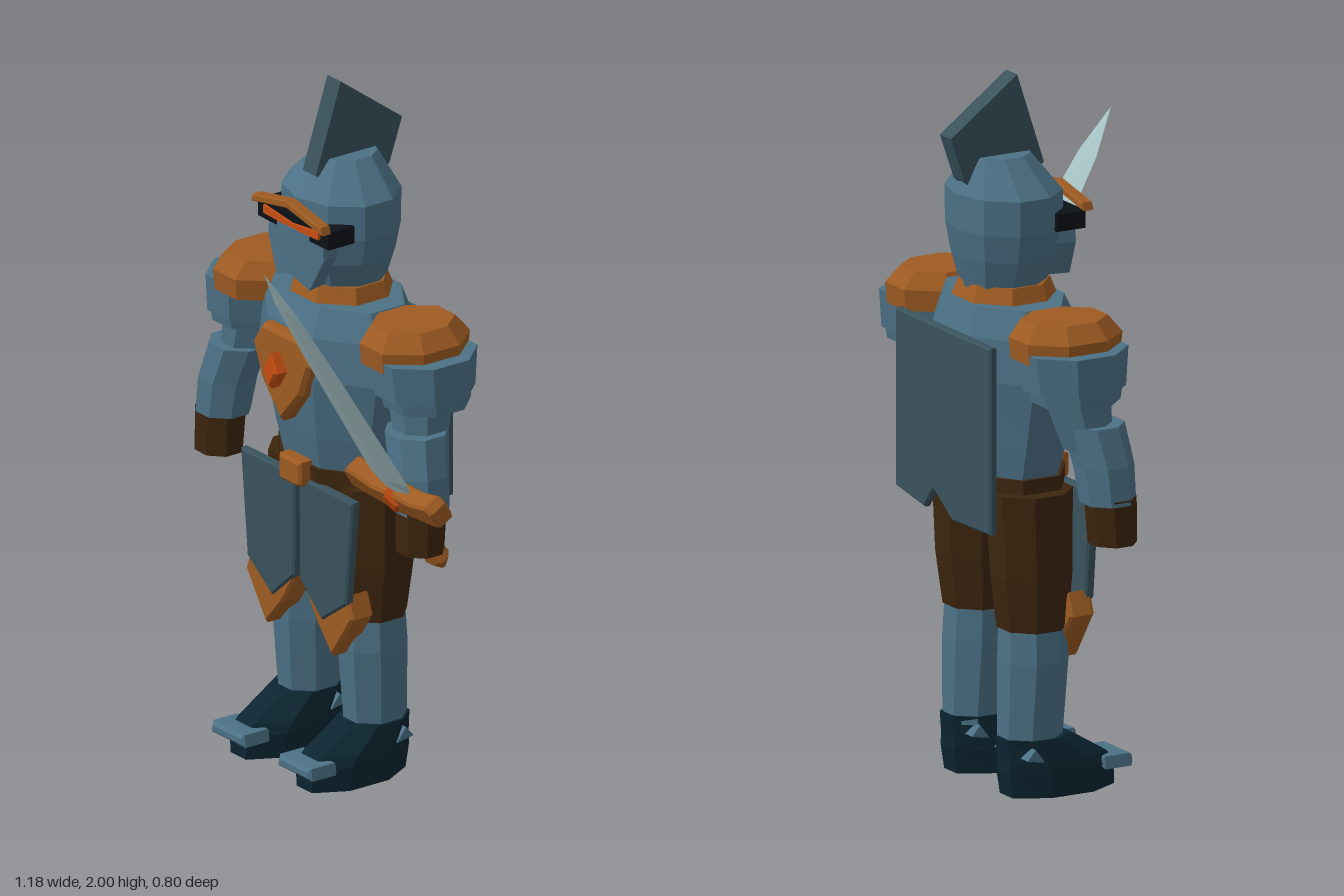
import * as THREE from 'three';

const paint = (name, color) => {
  const m = new THREE.MeshStandardMaterial({ color, flatShading: true });
  m.name = name;
  return m;
};

// Faceted solid through rings of [y, cx, cz, rx, rz]
function loft(rings, n = 8) {
  const phase = n === 4 ? 0 : Math.PI / n;
  const grow = n === 4 ? 1 : 1 / Math.cos(Math.PI / n);
  const at = ([y, cx, cz, rx, rz], i) => {
    const a = phase + (i * 2 * Math.PI) / n;
    return [cx + Math.cos(a) * rx * grow, y, cz + Math.sin(a) * rz * grow];
  };
  const mid = ([y, cx, cz]) => [cx, y, cz];
  const p = [];
  const lo = rings[0], hi = rings[rings.length - 1];
  for (let i = 0; i < n; i++) {
    for (let k = 0; k + 1 < rings.length; k++) {
      const a = at(rings[k], i), b = at(rings[k], i + 1);
      const c = at(rings[k + 1], i), d = at(rings[k + 1], i + 1);
      p.push(...a, ...c, ...d, ...a, ...d, ...b);
    }
    p.push(...mid(lo), ...at(lo, i), ...at(lo, i + 1));
    p.push(...mid(hi), ...at(hi, i + 1), ...at(hi, i));
  }
  const g = new THREE.BufferGeometry();
  g.setAttribute('position', new THREE.Float32BufferAttribute(p, 3));
  g.computeVertexNormals();
  return g;
}

// Outline in x, y with thickness from z0 to z1
function plate(pts, z0, z1, bevel = 0) {
  const shape = new THREE.Shape(pts.map(([x, y]) => new THREE.Vector2(x, y)));
  return new THREE.ExtrudeGeometry(shape, {
    depth: z1 - z0 - 2 * bevel, bevelEnabled: bevel > 0, bevelSize: bevel,
    bevelThickness: bevel, bevelOffset: -bevel, bevelSegments: 1,
  }).translate(0, 0, z0 + bevel);
}

// Completes a half outline (from top centre to bottom centre) by mirroring it
const mirrored = (half) => [
  ...half,
  ...half.filter(([x]) => x !== 0).reverse().map(([x, y]) => [-x, y]),
];

const box = (w, h, d, x, y, z) => new THREE.BoxGeometry(w, h, d).translate(x, y, z);

export function createModel() {
  const armour = paint('steel blue armour', 0x4c7186);
  const cloth = paint('slate cloth', 0x39525c);
  const boots = paint('navy boots', 0x0c2531);
  const gold = paint('bronze trim', 0x9e5b22);
  const brown = paint('brown leather', 0x3c250e);
  const red = paint('orange gem', 0xc84e12);
  const steel = paint('pale blade', 0xa6c2c5);
  const black = paint('black visor slit', 0x0b1116);

  const model = new THREE.Group();
  const body = new THREE.Group();
  body.name = 'knight';
  body.position.x = -0.065;
  model.add(body);
  const add = (parent, name, geometry, material) => {
    const m = new THREE.Mesh(geometry, material);
    m.name = name;
    parent.add(m);
    return m;
  };

  // Torso
  add(body, 'chest', loft([
    [0.82, 0, -0.21, 0.15, 0.1], [0.9, 0, -0.21, 0.195, 0.135], [1.0, 0, -0.205, 0.222, 0.15],
    [1.18, 0, -0.2, 0.265, 0.172], [1.3, 0, -0.205, 0.25, 0.168], [1.38, 0, -0.21, 0.21, 0.14],
  ]), armour);
  add(body, 'belt', loft([[0.845, 0, -0.21, 0.208, 0.142], [0.9, 0, -0.21, 0.205, 0.145]]), brown);
  add(body, 'buckle', plate([[-0.05, 0.85], [-0.04, 0.84], [0.04, 0.84], [0.05, 0.85],
    [0.05, 0.915], [-0.05, 0.915]], -0.08, -0.03, 0.008), gold);
  add(body, 'collar', loft([[1.34, 0, -0.21, 0.155, 0.145], [1.385, 0, -0.21, 0.14, 0.13],
    [1.425, 0, -0.21, 0.128, 0.115]]), gold);
  add(body, 'chestEmblem', plate(mirrored([[0, 1.295], [0.085, 1.295], [0.13, 1.23],
    [0.09, 1.13], [0, 1.03]]), -0.07, 0, 0.012), gold);
  add(body, 'chestGem', plate(mirrored([[0, 1.24], [0.033, 1.188], [0, 1.135]]), -0.01, 0.04, 0.01), red);

  // Cape with a ragged hem
  add(body, 'cape', plate([[-0.255, 1.305], [0.255, 1.305], [0.255, 0.8], [0.1, 0.775], [0.05, 0.835],
    [-0.05, 0.77], [-0.255, 0.775]], -0.405, -0.38, 0.006), cloth);

  // Helmet
  add(body, 'helmet', loft([
    [1.41, 0, -0.215, 0.115, 0.11], [1.5, 0, -0.21, 0.152, 0.135], [1.58, 0, -0.21, 0.17, 0.147],
    [1.68, 0, -0.21, 0.172, 0.147], [1.78, 0, -0.225, 0.08, 0.085],
  ], 10), armour);
  const plume = add(body, 'plume', plate([[0.1, 1.74], [0.185, 2.0], [0.395, 1.845], [0.352, 1.72],
    [0.3, 1.66]], -0.03, 0.03), cloth);
  plume.rotation.y = Math.PI / 2;
  add(body, 'visorSlit', box(0.32, 0.05, 0.09, 0, 1.602, -0.09), black);
  add(body, 'eyes', plate(mirrored([[0, 1.608], [0.125, 1.622], [0.125, 1.598], [0, 1.594]]),
    -0.044, -0.036), red);
  add(body, 'brow', plate(mirrored([[0, 1.678], [0.155, 1.648], [0.162, 1.625], [0, 1.655]]),
    -0.055, -0.02, 0.004), gold);
  for (const s of [-1, 1]) {
    const cheek = add(body, 'facePlate', plate([[0, 1.595], [0.125, 1.605], [0.128, 1.53],
      [0.075, 1.43], [0, 1.465]].map(([x, y]) => [s * x, y]), -0.07, 0), armour);
    cheek.position.z = -0.03;
    cheek.rotation.y = s * 0.2;
  }

  for (const s of [-1, 1]) {
    const side = s > 0 ? 'left' : 'right';
    const limb = (name, rings, material) => add(body, side + name,
      loft(rings.map(([y, x, ...r]) => [y, s * x, ...r])), material);
    const panel = (name, pts, z0, z1, bevel, material) => add(body, side + name,
      plate(pts.map(([x, y]) => [s * x, y]), z0, z1, bevel), material);

    // Arm
    limb('Pauldron', [[1.28, 0.333, -0.21, 0.12, 0.145], [1.34, 0.333, -0.21, 0.125, 0.15],
      [1.387, 0.325, -0.21, 0.094, 0.115]], gold);
    limb('ShoulderPlate', [[1.2, 0.38, -0.21, 0.12, 0.135], [1.31, 0.37, -0.21, 0.13, 0.146]], armour);
    limb('LowerShoulderPlate', [[1.165, 0.39, -0.21, 0.105, 0.115], [1.22, 0.385, -0.21, 0.115, 0.125]], armour);
    limb('UpperArm', [[1.03, 0.405, -0.18, 0.06, 0.065], [1.25, 0.36, -0.21, 0.09, 0.1]], armour);
    limb('Forearm', [[0.885, 0.45, -0.145, 0.075, 0.072], [0.99, 0.435, -0.15, 0.08, 0.078],
      [1.1, 0.4, -0.165, 0.085, 0.082]], armour);
    limb('Hand', [[0.77, 0.457, -0.135, 0.067, 0.062], [0.9, 0.455, -0.14, 0.069, 0.067]], brown);

    // Leg
    limb('Thigh', [[0.47, 0.145, -0.205, 0.09, 0.092], [0.62, 0.148, -0.21, 0.105, 0.105],
      [0.86, 0.145, -0.215, 0.11, 0.112]], brown);
    limb('Shin', [[0.14, 0.148, -0.215, 0.073, 0.085], [0.38, 0.148, -0.205, 0.088, 0.092],
      [0.48, 0.145, -0.205, 0.083, 0.088]], armour);
    limb('Boot', [[0, 0.15, -0.13, 0.085, 0.16], [0.07, 0.15, -0.135, 0.092, 0.165],
      [0.1, 0.15, -0.148, 0.092, 0.15], [0.165, 0.15, -0.205, 0.08, 0.1]], boots);
    panel('ToePlate', [[0.075, 0.055], [0.228, 0.055], [0.222, 0.09], [0.081, 0.09]], -0.03, 0.07, 0.01, armour);
    const stud = add(body, side + 'AnkleStud',
      plate([[0.22, 0.105], [0.275, 0.115], [0.25, 0.145]], -0.091, 0.091), armour);
    stud.rotation.y = Math.PI / 2;
    stud.position.x = s * 0.15;
    panel('ThighCloth', [[0.255, 0.857], [0.01, 0.857], [0.012, 0.557], [0.113, 0.467],
      [0.225, 0.547]], -0.085, -0.055, 0.006, cloth);
    panel('KneeGuard', [[0.218, 0.57], [0.113, 0.485], [0.012, 0.567], [0.075, 0.455],
      [0.15, 0.37], [0.243, 0.505]], -0.14, -0.063, 0.008, gold);
  }

  // Sword in the left hand
  const sword = new THREE.Group();
  sword.name = 'sword';
  sword.position.set(0.455, 0.95, -0.065);
  sword.rotation.x = 0.544;
  body.add(sword);
  add(sword, 'blade', loft([[0.03, 0, 0, 0.07, 0.016], [0.07, 0, 0, 0.088, 0.016], [0.51, 0, 0, 0.07, 0.013],
    [0.75, 0, 0, 0.047, 0.009], [0.893, 0, 0, 0.0005, 0.0005]], 4), steel);
  add(sword, 'crossGuard', plate(mirrored([[0, 0.03], [0.09, 0.025], [0.18, 0.05], [0.2, 0.03],
    [0.198, -0.025], [0.17, -0.03], [0.06, -0.04], [0, -0.05]]), -0.03, 0.03, 0.008), gold);
  add(sword, 'guardGem', plate(mirrored([[0, 0.045], [0.037, 0], [0, -0.045]]), -0.04, 0.04, 0.01), red);
  add(sword, 'grip', loft([[-0.23, 0, 0, 0.022, 0.022], [-0.03, 0, 0, 0.022, 0.022]]), brown);
  add(sword, 'pommel', loft([[-0.29, 0, 0, 0.008, 0.008], [-0.25, 0, 0, 0.038, 0.032],
    [-0.215, 0, 0, 0.025, 0.025]]), gold);

  return model;
}
